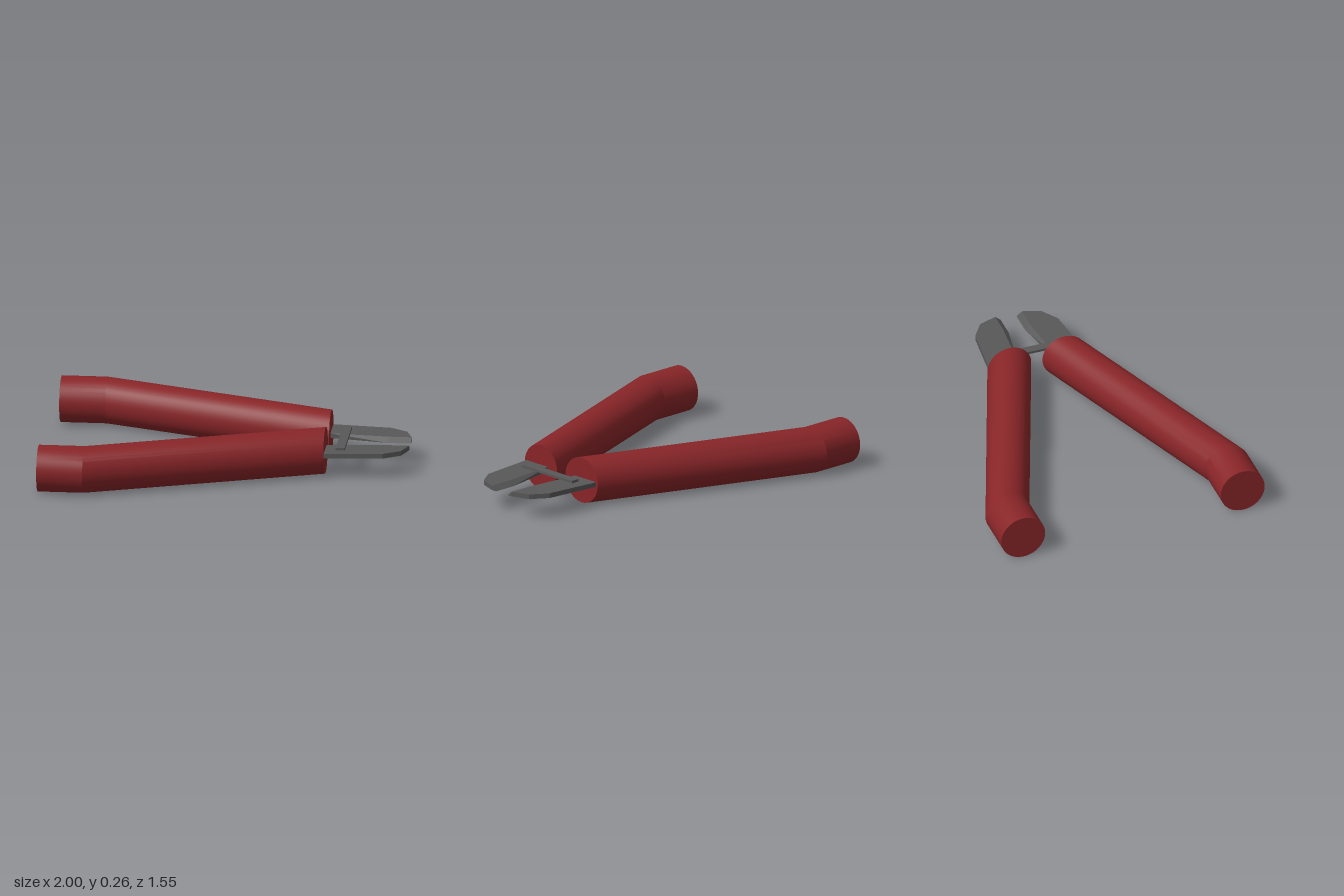
import * as THREE from 'three';
import { toCreasedNormals } from 'three/addons/utils/BufferGeometryUtils.js';
import { ConvexGeometry } from 'three/addons/geometries/ConvexGeometry.js';

const RADIUS = 0.129;
// stations along the handle: [x, z]
const PATH = [[-1, 0.645], [-0.745, 0.645], [0.545, 0.162]];
const JAW_BOTTOM = 0.116, JAW_TOP = 0.143;

// round grip whose end and bend sections all lie square to x
function handleGeometry(side) {
  const geo = new THREE.CylinderGeometry(RADIUS, RADIUS, 2, 40, 2);
  geo.rotateZ(-Math.PI / 2);
  const pos = geo.attributes.position;
  for (let i = 0; i < pos.count; i++) {
    const [x, z] = PATH[Math.round(pos.getX(i)) + 1];
    pos.setXYZ(i, x, pos.getY(i) + RADIUS, pos.getZ(i) + side * z);
  }
  return toCreasedNormals(geo, 0.3);
}

// flat blade with a bevel that widens towards the cutting edge
function jawGeometry(side) {
  const outer = [[0.54, 0.278], [0.87, 0.243], [0.965, 0.18]];
  const topInner = [[1, 0.078], [0.87, 0.078], [0.54, 0.109]];
  const bottomInner = [[1, 0.078], [1, 0.047], [0.87, 0.047], [0.54, 0.109]];
  const points = [];
  for (const [x, z] of [...outer, ...topInner]) points.push(new THREE.Vector3(x, JAW_TOP, side * z));
  for (const [x, z] of [...outer, ...bottomInner]) points.push(new THREE.Vector3(x, JAW_BOTTOM, side * z));
  return new ConvexGeometry(points);
}

export function createModel() {
  const group = new THREE.Group();
  const grip = new THREE.MeshStandardMaterial({ color: 0x882528 });
  const steel = new THREE.MeshStandardMaterial({ color: 0x585858 });
  const add = (name, geometry, material) => {
    const mesh = new THREE.Mesh(geometry, material);
    mesh.name = name;
    group.add(mesh);
    return mesh;
  };

  for (const [label, side] of [['front', 1], ['back', -1]]) {
    add(label + 'Handle', handleGeometry(side), grip);
    add(label + 'Jaw', jawGeometry(side), steel);
  }

  // thin strip joining the two jaws
  add('crossBar', new THREE.BoxGeometry(0.05, 0.014, 0.4), steel).position.set(0.63, 0.15, 0);

  return group;
}
